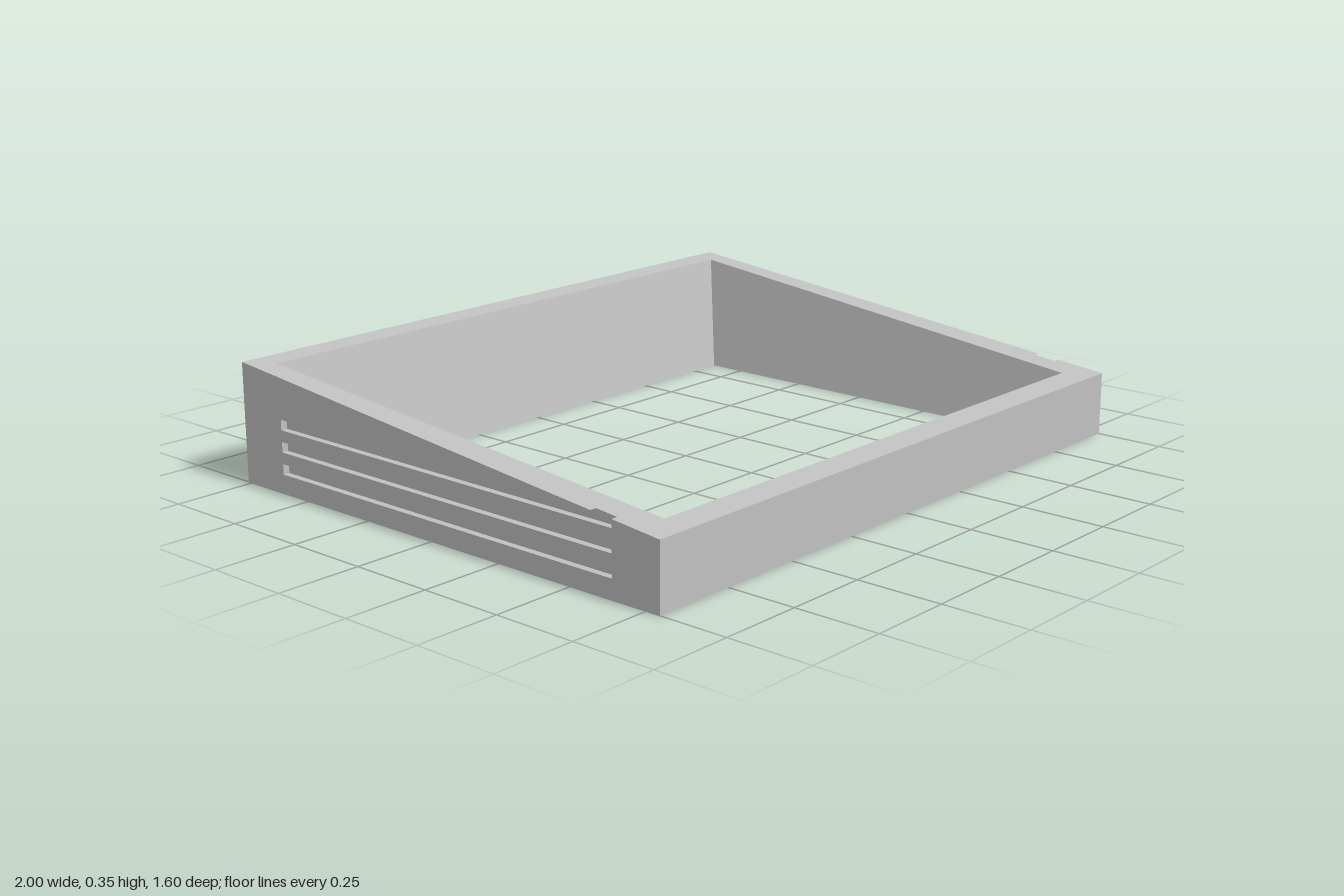
import * as THREE from 'three';

const FRONT = 0.795, BACK = -0.765, SKIN = 0.02;
const topY = z => 0.19 + (FRONT - z) * 0.1026; // sloping top plane

// Closed loop of quads between two rings of four corners
function band(a, b) {
  const pos = [];
  for (let i = 0; i < 4; i++) {
    const j = (i + 1) % 4;
    for (const p of [a[i], a[j], b[j], a[i], b[j], b[i]]) pos.push(...p);
  }
  const g = new THREE.BufferGeometry();
  g.setAttribute('position', new THREE.Float32BufferAttribute(pos, 3));
  g.computeVertexNormals();
  return g;
}

// Four corners: left-back, left-front, right-front, right-back as seen from above
const ring = (xBack, xFront, zBack, zFront, y) => [
  [-xBack, y(zBack), zBack], [-xFront, y(zFront), zFront],
  [xFront, y(zFront), zFront], [xBack, y(zBack), zBack]];

const polygon = (Type, pts) => new Type(pts.map(p => new THREE.Vector2(p[0], p[1])));

export function createModel() {
  const model = new THREE.Group();
  const grey = new THREE.MeshStandardMaterial({ color: 0xc0c0c0 });
  const add = (name, geometry, x = 0, y = 0, z = 0) => {
    const mesh = new THREE.Mesh(geometry, grey);
    mesh.name = name;
    mesh.position.set(x, y, z);
    model.add(mesh);
    return mesh;
  };

  // Wedge-shaped frame with a flared opening
  const w = 1 - SKIN, floor = () => 0;
  const outerBottom = ring(w, w, BACK, FRONT, floor);
  const outerTop = ring(w, w, BACK, FRONT, topY);
  const innerTop = ring(0.931, 0.897, -0.7, 0.717, topY);
  const innerBottom = ring(0.85, 0.85, -0.615, 0.69, floor);
  add('outerWalls', band(outerBottom, outerTop));
  add('topRim', band(outerTop, innerTop));
  add('innerWalls', band(innerTop, innerBottom));

  // Underside with two blind round holes
  const holeX = 0.92, holeZ = 0.035, holeR = 0.024, holeDepth = 0.1;
  const base = polygon(THREE.Shape, outerBottom.map(p => [p[0], p[2]]));
  base.holes.push(polygon(THREE.Path, innerBottom.map(p => [p[0], p[2]])));
  for (const s of [-1, 1]) {
    base.holes.push(new THREE.Path().absarc(s * holeX, holeZ, holeR, 0, Math.PI * 2));
    const profile = [[0, holeDepth], [holeR, holeDepth], [holeR, 0]].map(p => new THREE.Vector2(...p));
    const hole = new THREE.LatheGeometry(profile, 24).toNonIndexed();
    hole.computeVertexNormals();
    add('screwHole', hole, s * holeX, 0, holeZ);
  }
  add('underside', new THREE.ShapeGeometry(base, 12).rotateX(Math.PI / 2));

  // Side skins: two closed grooves, and a top groove that breaks out through the slope
  const g0 = -0.605, g1 = 0.64, low = 0.183, high = 0.213;
  const breakZ = FRONT - (high - 0.19) / 0.1026;
  const side = polygon(THREE.Shape, [
    [FRONT, 0], [FRONT, topY(FRONT)], [g1, topY(g1)], [g1, low], [g0, low],
    [g0, high], [breakZ, high], [BACK, topY(BACK)], [BACK, 0],
  ].map(([z, y]) => [-z, y]));
  for (const y of [0.055, 0.119]) {
    side.holes.push(polygon(THREE.Path, [[-g1, y], [-g0, y], [-g0, y + 0.03], [-g1, y + 0.03]]));
  }
  const skin = new THREE.ExtrudeGeometry(side, { depth: SKIN, bevelEnabled: false });
  skin.rotateY(Math.PI / 2);
  add('leftGroovedSide', skin, w);
  add('rightGroovedSide', skin, -1);

  // Row of upright ribs on the back
  const rib = new THREE.BoxGeometry(0.076, 0.31, 0.035);
  for (let i = 0; i < 10; i++) add('backRib', rib, -0.83 + i * 0.1867, 0.155, BACK - 0.0175);

  return model;
}
